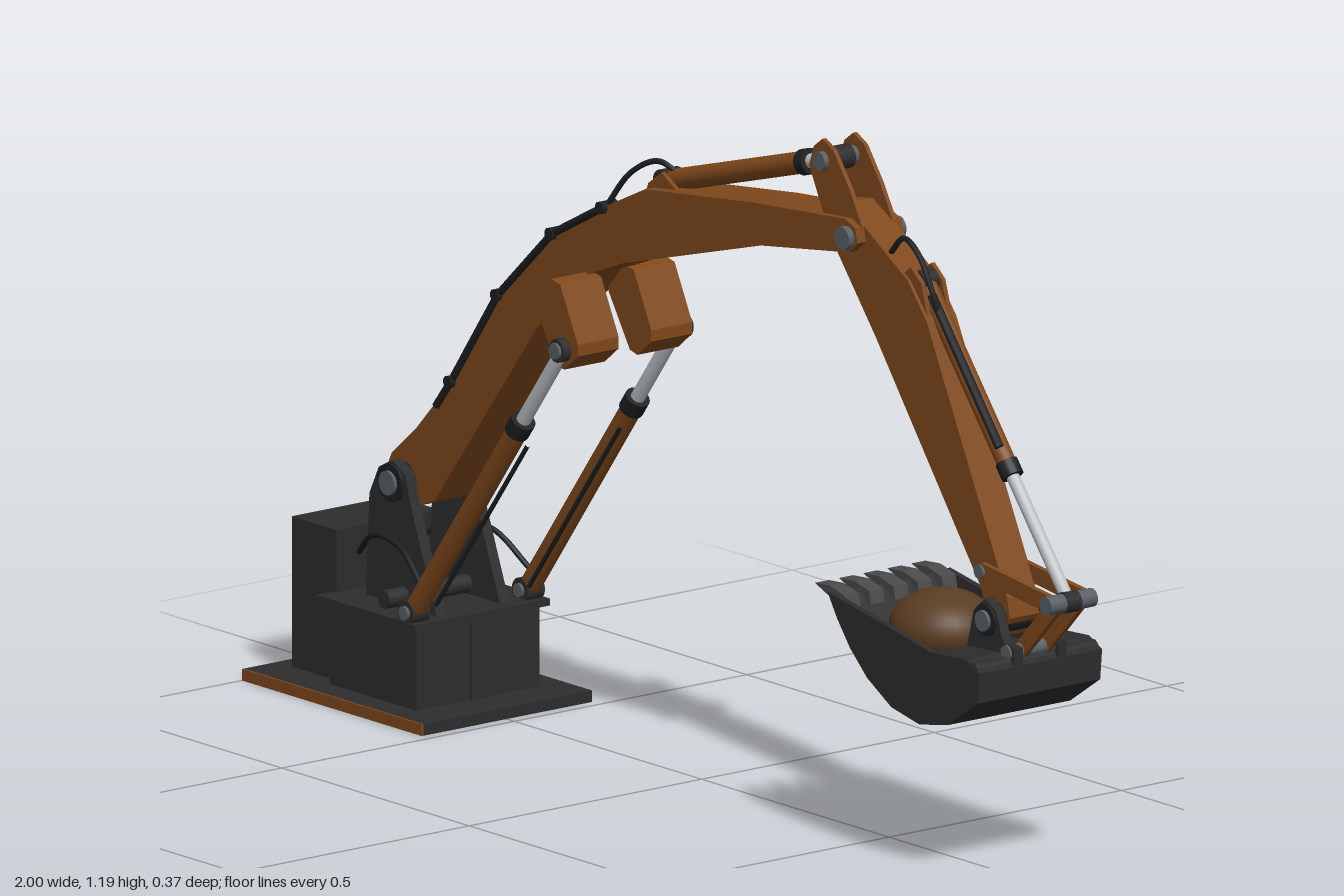
import * as THREE from 'three';

const mat = (name, color, side = THREE.FrontSide) => {
  const m = new THREE.MeshStandardMaterial({ color, side });
  m.name = name;
  return m;
};

export function createModel() {
  const root = new THREE.Group();
  root.name = 'excavatorArm';
  const orange = mat('orangePaint', 0x80491c);
  const dark = mat('darkSteel', 0x2d2d2d);
  const black = mat('blackRubber', 0x1d1f21);
  const grey = mat('pinGrey', 0x596067);
  const chrome = mat('chromeRod', 0xbfc4c8);
  const soil = mat('soil', 0x5a3d22);
  const tooth = mat('toothSteel', 0x4a4a4a);

  const add = (name, geo, m) => {
    const mesh = new THREE.Mesh(geo, m);
    mesh.name = name;
    root.add(mesh);
    return mesh;
  };
  // box given by its limits
  const box = (name, m, x0, x1, y0, y1, z0, z1) =>
    add(name, new THREE.BoxGeometry(x1 - x0, y1 - y0, z1 - z0), m)
      .position.set((x0 + x1) / 2, (y0 + y1) / 2, (z0 + z1) / 2);
  // side profile extruded from z0 to z1
  const plate = (name, m, pts, z0, z1) => {
    const s = new THREE.Shape(pts.map(p => new THREE.Vector2(p[0], p[1])));
    const g = new THREE.ExtrudeGeometry(s, { depth: z1 - z0, bevelEnabled: false });
    add(name, g.translate(0, 0, z0), m);
  };
  // cylinder between two points
  const bar = (name, m, a, b, r, sides = 20) => {
    const A = new THREE.Vector3(...a), B = new THREE.Vector3(...b);
    const d = B.clone().sub(A);
    const mesh = add(name, new THREE.CylinderGeometry(r, r, d.length(), sides), m);
    mesh.position.copy(A).add(B).multiplyScalar(0.5);
    mesh.quaternion.setFromUnitVectors(new THREE.Vector3(0, 1, 0), d.normalize());
  };
  const pin = (name, m, x, y, z0, z1, r) => bar(name, m, [x, y, z0], [x, y, z1], r);
  const hose = (name, pts, r = 0.005) => add(name, new THREE.TubeGeometry(
    new THREE.CatmullRomCurve3(pts.map(p => new THREE.Vector3(...p))), 28, r, 8), black);
  // hydraulic ram: barrel, gland, rod and two eyes; f is the barrel share of its length
  const ram = (name, a, b, z, f, r) => {
    const at = t => [a[0] + (b[0] - a[0]) * t, a[1] + (b[1] - a[1]) * t, z];
    bar(name + 'Barrel', orange, at(0), at(f), r);
    bar(name + 'Gland', black, at(f - 0.035), at(f + 0.01), r * 1.18);
    bar(name + 'Rod', chrome, at(f), at(1), r * 0.68);
    pin(name + 'BaseEye', dark, ...a, z - r, z + r, r * 1.15);
    pin(name + 'RodEye', dark, ...b, z - r * 0.9, z + r * 0.9, r * 1.1);
  };
  // flat link between two points
  const link = (name, m, a, b, w, z0, z1) => {
    const dx = b[0] - a[0], dy = b[1] - a[1], l = Math.hypot(dx, dy);
    const nx = -dy / l * w, ny = dx / l * w;
    plate(name, m, [[a[0] + nx, a[1] + ny], [a[0] - nx, a[1] - ny],
      [b[0] - nx, b[1] - ny], [b[0] + nx, b[1] + ny]], z0, z1);
  };

  // base
  box('basePlate', dark, -1, -0.52, 0, 0.02, -0.183, 0.179);
  box('basePlateFrontEdge', orange, -1, -0.52, 0, 0.02, 0.179, 0.183);
  box('rearCabinet', dark, -0.96, -0.84, 0.02, 0.28, -0.112, 0.108);
  box('pedestal', dark, -0.83, -0.597, 0.02, 0.16, -0.132, 0.132);
  box('pedestalRib', dark, -0.6, -0.592, 0.02, 0.16, -0.018, 0.018);
  box('pedestalTop', dark, -0.85, -0.585, 0.16, 0.172, -0.145, 0.145);
  bar('pedestalCrossTube', dark, [-0.7, 0.19, -0.12], [-0.7, 0.19, 0.12], 0.016);

  // boom foot
  const cheek = [[-0.8, 0.17], [-0.79, 0.35], [-0.765, 0.4], [-0.73, 0.418],
    [-0.695, 0.4], [-0.68, 0.35], [-0.61, 0.17]];
  for (const s of [-1, 1]) {
    const z = s * 0.068;
    plate('footCheek', dark, cheek, z - 0.01, z + 0.01);
    pin('footHub', black, -0.73, 0.38, z - 0.016, z + 0.016, 0.033);
  }
  pin('footPin', grey, -0.73, 0.38, -0.09, 0.09, 0.021);

  // boom
  plate('boom', orange, [[-0.78, 0.39], [-0.765, 0.42], [-0.7, 0.475], [-0.605, 0.575],
    [-0.48, 0.75], [-0.335, 0.885], [-0.205, 0.955], [-0.09, 1.01], [0.195, 1.045],
    [0.445, 1.066], [0.472, 1.055], [0.478, 1.03], [0.455, 1.01], [0.22, 0.975], [-0.15, 0.87],
    [-0.26, 0.825], [-0.38, 0.71], [-0.65, 0.36], [-0.7, 0.34], [-0.75, 0.35]], -0.05, 0.05);
  pin('elbowPin', grey, 0.45, 1.035, -0.062, 0.062, 0.02);

  // lift rams with their brackets
  for (const s of [-1, 1]) {
    const z = s * 0.123;
    plate('liftBracket', orange, [[-0.295, 0.785], [-0.235, 0.69], [-0.215, 0.685],
      [-0.178, 0.715], [-0.178, 0.735], [-0.225, 0.83], [-0.25, 0.835]],
    Math.min(s * 0.035, z), Math.max(s * 0.035, z));
    ram('lift', [-0.615, 0.187], [-0.215, 0.72], z, 0.72, 0.0185);
    pin('liftTopPin', grey, -0.215, 0.72, z - 0.022, z + 0.022, 0.014);
    pin('liftBasePin', grey, -0.615, 0.187, z - 0.024, z + 0.024, 0.012);
    hose('liftFeedPipe', [[-0.585, 0.2, s * 0.1], [-0.46, 0.366, s * 0.1], [-0.34, 0.525, s * 0.1]], 0.004);
    hose('baseHose', [[-0.84, 0.235, s * 0.06], [-0.77, 0.282, s * 0.085],
      [-0.68, 0.28, s * 0.1], [-0.6, 0.225, s * 0.115]]);
  }

  // pipes and clips along the boom
  const run = [[-0.645, 0.525], [-0.605, 0.575], [-0.48, 0.75], [-0.335, 0.885], [-0.2, 0.957]];
  for (let i = 0; i < run.length - 1; i++)
    for (const z of [0.036, 0.051])
      bar('boomPipe', black, [...run[i], z], [...run[i + 1], z], 0.007, 8);
  for (const [x, y] of run.slice(1)) bar('pipeClip', black, [x, y, 0.025], [x, y, 0.06], 0.011, 10);
  hose('armRamHose', [[-0.2, 0.957, 0.045], [-0.15, 1.025, 0.03], [-0.095, 1.052, 0.015],
    [-0.05, 1.03, 0]]);

  // arm ram on top of the boom
  for (const z of [-0.03, 0.022])
    plate('armRamLug', orange, [[-0.12, 0.98], [-0.105, 1.015], [-0.07, 1.04], [-0.02, 1.01]], z, z + 0.008);
  ram('arm', [-0.085, 1.018], [0.37, 1.15], 0, 0.82, 0.019);

  // stick: box beam plus twin ears at its upper end
  const joint = [[0.44, 1.115], [0.475, 1.055]];
  plate('stick', orange, [[0.36, 1.075], [0.42, 1.085], ...joint.slice(1), [0.59, 0.985], [0.64, 0.925],
    [0.855, 0.49], [0.862, 0.455], [0.84, 0.42], [0.81, 0.42], [0.785, 0.495],
    [0.505, 0.87], [0.4, 1.0]], -0.032, 0.032);
  for (const s of [-1, 1]) {
    const z = s * 0.033;
    plate('stickEar', orange, [[0.333, 1.135], [0.345, 1.17], [0.368, 1.187], [0.398, 1.172],
      ...joint, [0.4, 1.0]], z - 0.004, z + 0.004);
  }
  pin('armRamPin', grey, 0.37, 1.15, -0.047, 0.047, 0.016);

  // bucket ram, its lugs and hose
  for (const z of [-0.026, 0.018])
    plate('bucketRamLug', orange, [[0.56, 0.985], [0.59, 1.008], [0.618, 0.985], [0.645, 0.9]], z, z + 0.008);
  ram('bucketRam', [0.597, 0.982], [0.98, 0.503], 0, 0.6, 0.0165);
  hose('bucketRamHose', [[0.53, 1.02, 0.02], [0.565, 1.052, 0.02], [0.605, 1.03, 0.02],
    [0.64, 0.975, 0.02], [0.655, 0.92, 0.01]]);
  bar('bucketRamPipe', black, [0.63, 0.965, 0.012], [0.81, 0.738, 0.012], 0.008, 8);

  // bucket linkage
  for (const s of [-1, 1]) {
    const z = s * 0.036;
    link('rockerLink', orange, [0.795, 0.525], [0.98, 0.503], 0.015, z - 0.005, z + 0.005);
    link('bucketLink', orange, [0.98, 0.503], [0.885, 0.405], 0.014, s * 0.025 - 0.005, s * 0.025 + 0.005);
    plate('bucketEar', dark, [[0.775, 0.385], [0.795, 0.46], [0.825, 0.487], [0.855, 0.47],
      [0.875, 0.42], [0.905, 0.415], [0.905, 0.37]], s * 0.047 - 0.009, s * 0.047 + 0.009);
  }
  pin('rockerPin', grey, 0.795, 0.525, -0.046, 0.046, 0.012);
  pin('linkPin', grey, 0.98, 0.503, -0.05, 0.05, 0.016);
  pin('bucketLinkPin', grey, 0.885, 0.405, -0.06, 0.06, 0.013);
  pin('stickEndHub', black, 0.828, 0.45, -0.06, 0.06, 0.028);
  pin('stickEndPin', grey, 0.828, 0.45, -0.066, 0.066, 0.018);

  // bucket shell, cheeks, teeth and load
  const outer = [[0.5, 0.445], [0.525, 0.405], [0.56, 0.36], [0.605, 0.318], [0.67, 0.28],
    [0.745, 0.265], [0.82, 0.279], [0.9, 0.332], [0.905, 0.385], [0.87, 0.402], [0.775, 0.396]];
  const inner = outer.map(([x, y], i) => {
    const k = i === 0 || i === outer.length - 1 ? 0.02 : 0.08;
    return [x + (0.74 - x) * k, y + (0.36 - y) * k * 1.4];
  }).reverse();
  plate('bucketShell', dark, [...outer, ...inner], -0.125, 0.125);
  for (const s of [-1, 1]) {
    const z = s * 0.126;
    plate('bucketCheek', dark, [...outer, [0.675, 0.415]], z - 0.006, z + 0.006);
  }
  bar('bucketTopBar', dark, [0.885, 0.385, -0.13], [0.885, 0.385, 0.13], 0.014);
  for (let i = -2; i <= 2; i++)
    plate('bucketTooth', tooth, [[0.45, 0.449], [0.505, 0.427], [0.535, 0.42], [0.53, 0.442],
      [0.49, 0.452]], i * 0.052 - 0.015, i * 0.052 + 0.015);
  const load = add('soilLoad', new THREE.SphereGeometry(1, 28, 18), soil);
  load.scale.set(0.095, 0.064, 0.09);
  load.position.set(0.645, 0.395, 0);

  return root;
}
